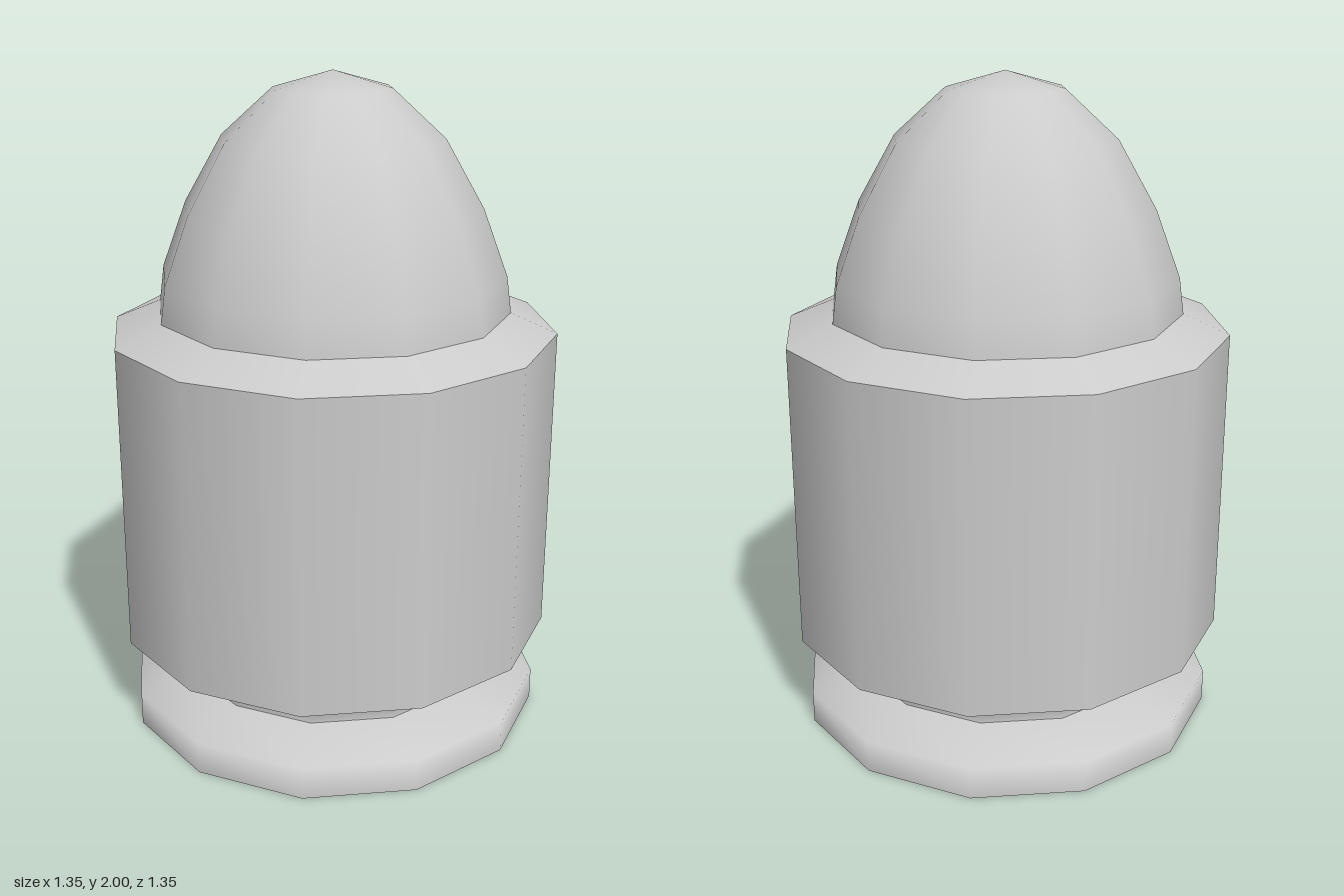
import * as THREE from 'three';

const SIDES = 12;

export function createModel() {
  const group = new THREE.Group();
  const material = new THREE.MeshStandardMaterial({ color: 0xcccccc });

  // Turn a [radius, height] profile, listed bottom to top; each part is smooth within itself
  const turn = (name, profile) => {
    const points = profile.map(([r, y]) => new THREE.Vector2(r, y));
    const geometry = new THREE.LatheGeometry(points, SIDES);
    const { position, normal } = geometry.attributes;
    // Points on the axis face straight up or down
    for (let i = 0; i < position.count; i++) {
      if (Math.hypot(position.getX(i), position.getZ(i)) < 1e-6) {
        normal.setXYZ(i, 0, position.getY(i) > 1 ? 1 : -1, 0);
      }
    }
    const mesh = new THREE.Mesh(geometry, material);
    mesh.name = name;
    group.add(mesh);
  };

  turn('base', [[0, 0], [0.65, 0]]);
  turn('rim', [[0.65, 0], [0.65, 0.1], [0.48, 0.145]]);
  turn('extractorGroove', [[0.48, 0.145], [0.48, 0.24], [0.675, 0.29]]);
  turn('caseBody', [[0.675, 0.29], [0.675, 1.24]]);
  turn('caseMouth', [[0.675, 1.24], [0.535, 1.3]]);
  turn('bulletTip', [
    [0.535, 1.3], [0.52, 1.41], [0.445, 1.61], [0.33, 1.81], [0.175, 1.95], [0, 2],
  ]);

  return group;
}
